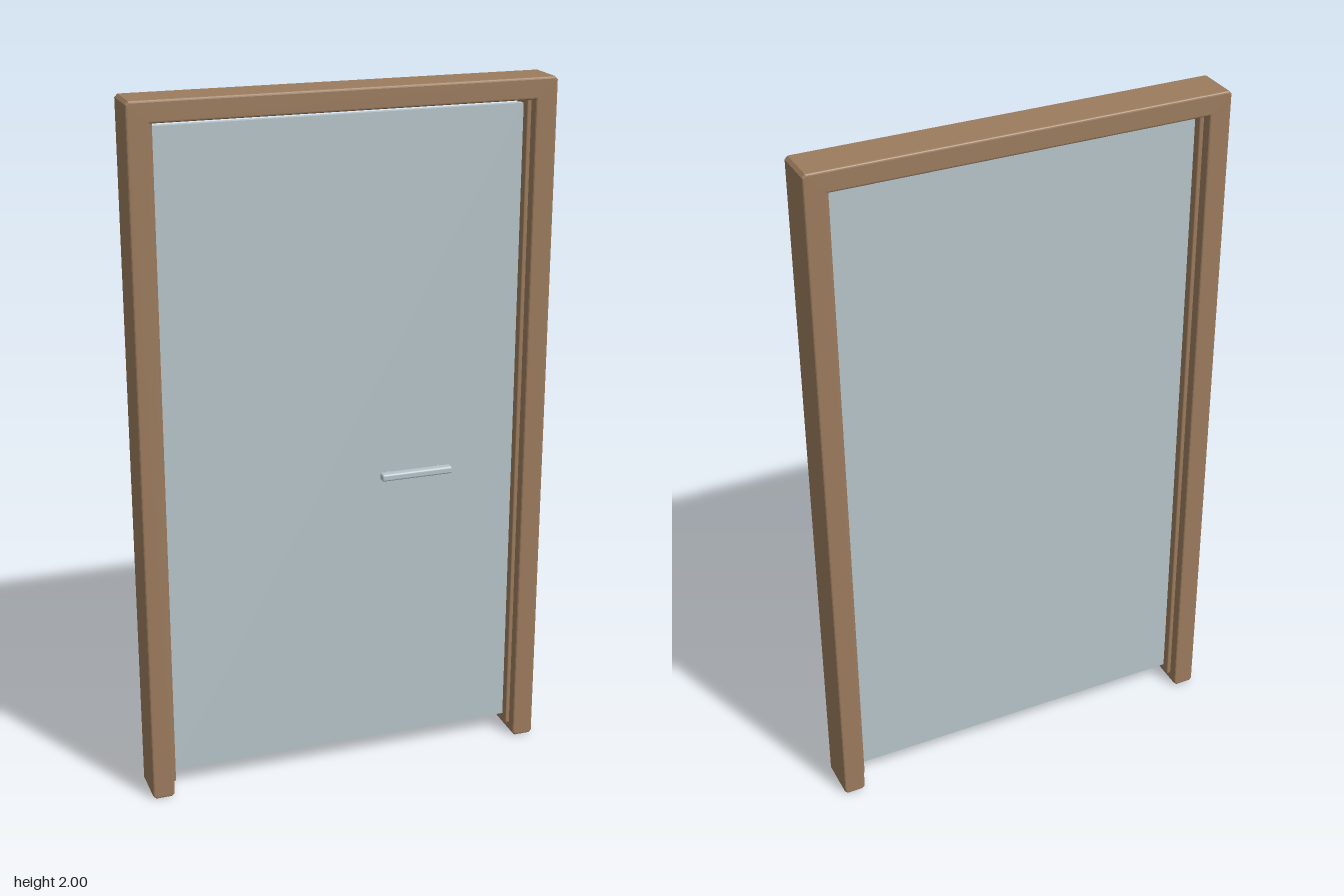
import * as THREE from 'three';
import { RoundedBoxGeometry } from 'three/addons/geometries/RoundedBoxGeometry.js';

export function createModel() {
  const wood = new THREE.MeshStandardMaterial({ color: 0x9c7c5e });
  wood.name = 'wood';
  const glass = new THREE.MeshStandardMaterial({ color: 0xb7c5ca });
  glass.name = 'paleGlass';

  const model = new THREE.Group();
  model.name = 'glassDoor';
  const add = (name, geometry, material, x, y, z) => {
    const mesh = new THREE.Mesh(geometry, material);
    mesh.name = name;
    mesh.position.set(x, y, z);
    model.add(mesh);
  };

  // Door frame: one U-shaped casing with softened edges
  const b = 0.006, c = 0.005, halfDepth = 0.063;
  const outer = 0.593 - b, inner = 0.53 + b, top = 2 - b, under = 1.94 + b;
  const half = [
    [inner, under], [inner, b + c], [inner + c, b], [outer - c, b],
    [outer, b + c], [outer, top - c], [outer - c, top],
  ];
  const mirrored = half.map(([x, y]) => [-x, y]).reverse();
  const outline = new THREE.Shape([...half, ...mirrored].map(([x, y]) => new THREE.Vector2(x, y)));
  const casing = new THREE.ExtrudeGeometry(outline, {
    depth: 2 * (halfDepth - b), bevelSize: b, bevelThickness: b, bevelSegments: 3,
  });
  add('doorFrame', casing, wood, 0, 0, -halfDepth + b);

  // Stop strips down the inside of each jamb
  for (const [side, s] of [['left', 1], ['right', -1]]) {
    add(side + 'StopStrip', new RoundedBoxGeometry(0.016, 1.91, 0.066, 2, 0.004), wood,
      s * 0.526, 0.985, 0);
  }

  // Door leaf
  add('glassPanel', new THREE.BoxGeometry(1.038, 1.872, 0.018), glass, 0, 0.988, 0);

  // Pull bar on the front, held by two short posts
  add('handleBar', new RoundedBoxGeometry(0.212, 0.021, 0.026, 3, 0.006), glass, 0.211, 0.895, 0.036);
  for (const x of [0.135, 0.287]) {
    const post = new THREE.CylinderGeometry(0.006, 0.006, 0.02, 12).rotateX(Math.PI / 2);
    add('handlePost', post, glass, x, 0.895, 0.017);
  }

  return model;
}
